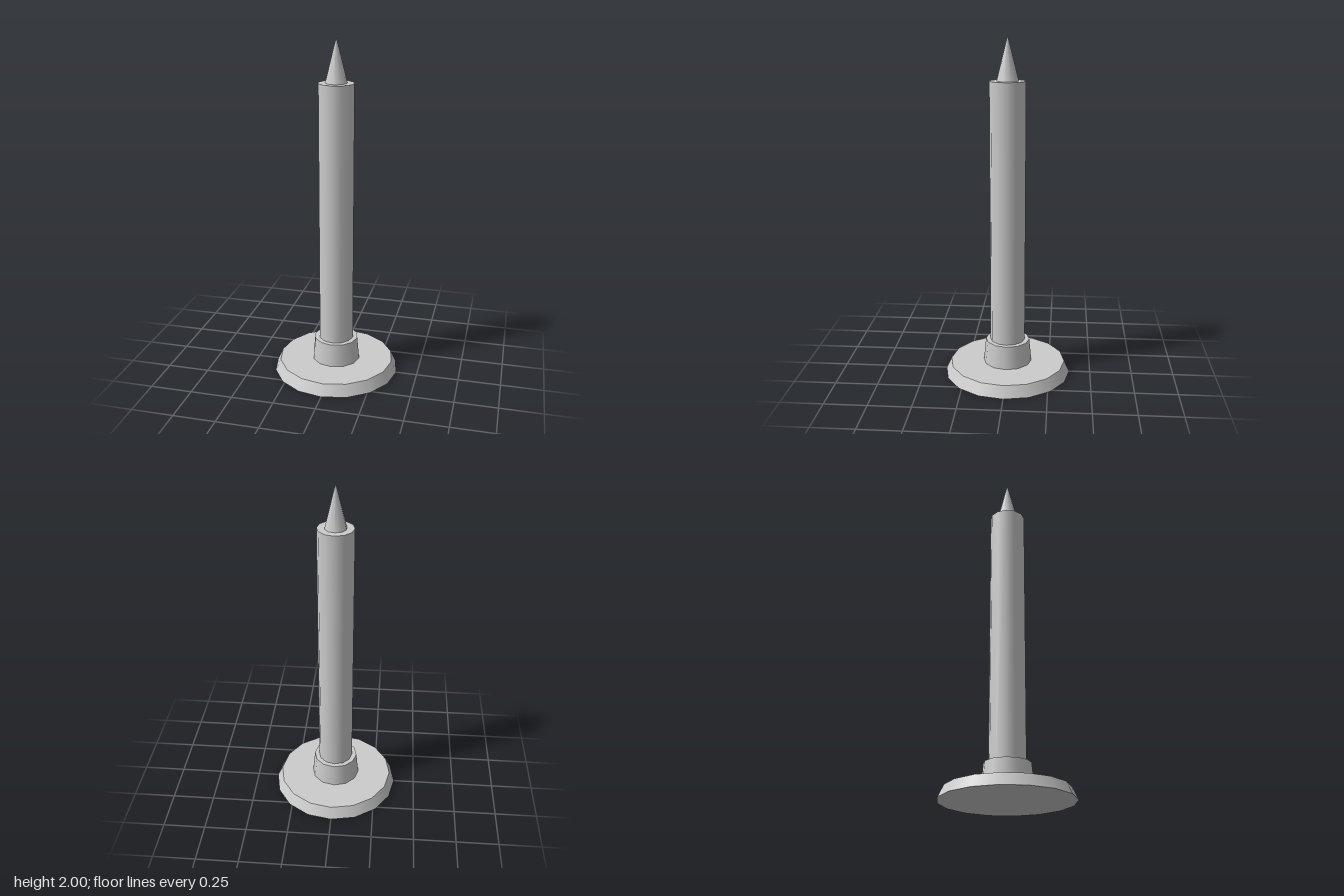
import * as THREE from 'three';

export function createModel() {
  const model = new THREE.Group();
  const paleGrey = new THREE.MeshStandardMaterial({ color: 0xcccccc });
  paleGrey.name = 'paleGrey';

  // Round, optionally tapered part standing between two heights
  function addRound(name, topRadius, bottomRadius, bottom, top, sides) {
    const geometry = new THREE.CylinderGeometry(topRadius, bottomRadius, top - bottom, sides);
    const mesh = new THREE.Mesh(geometry, paleGrey);
    mesh.name = name;
    mesh.position.y = (bottom + top) / 2;
    model.add(mesh);
  }

  addRound('basePlate', 0.343, 0.375, 0, 0.068, 16);
  addRound('collar', 0.131, 0.144, 0.068, 0.206, 12);
  addRound('shaft', 0.103, 0.103, 0.206, 1.75, 12);

  // Pointed tip
  const tip = new THREE.Mesh(new THREE.ConeGeometry(0.062, 0.25, 10), paleGrey);
  tip.name = 'pointedTip';
  tip.position.y = 1.875;
  model.add(tip);

  return model;
}
